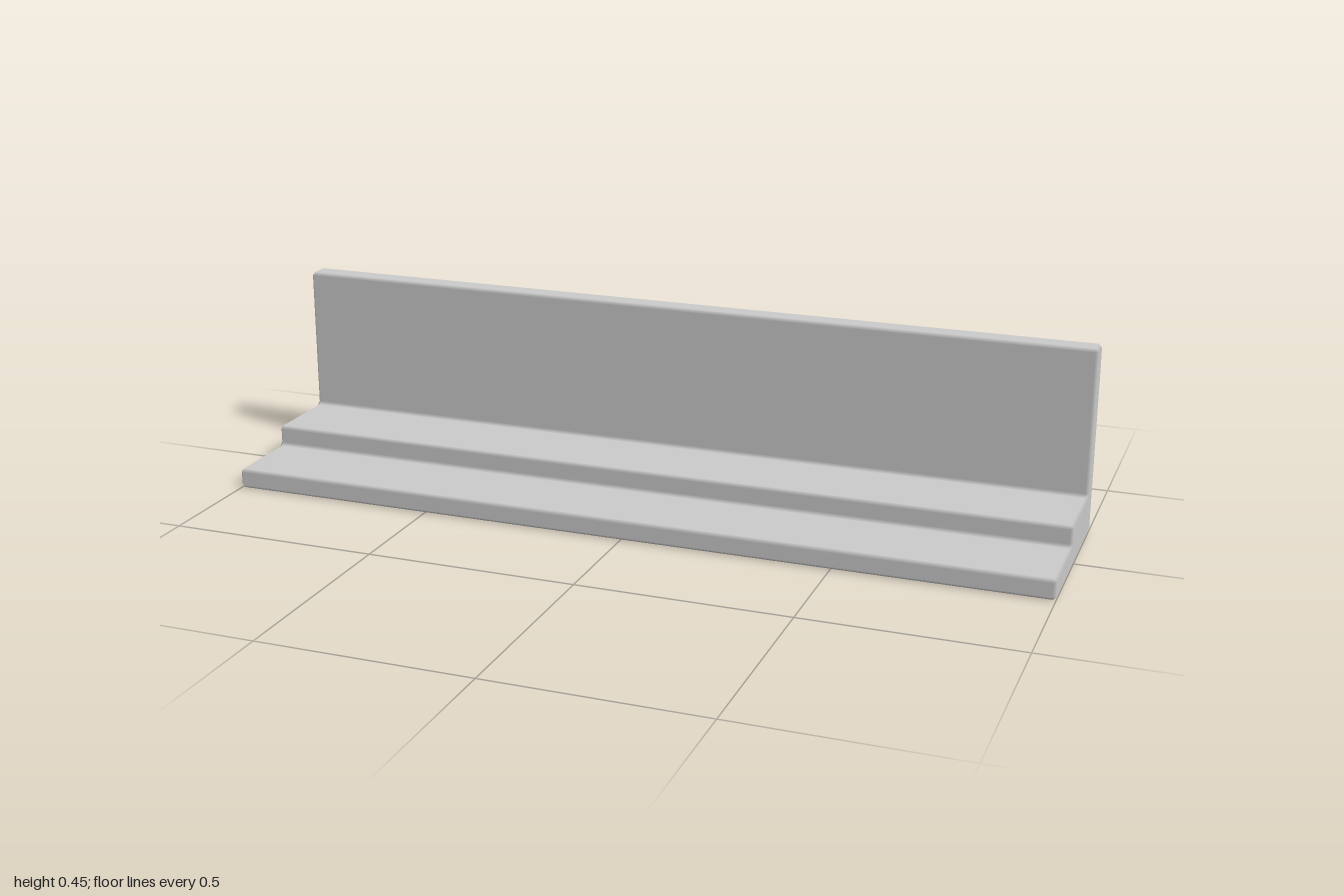
import * as THREE from 'three';

// Cut every corner of a closed profile with a chamfer of size c
function chamferedShape(corners, c) {
  const points = [];
  corners.forEach((corner, i) => {
    const p = new THREE.Vector2(...corner);
    for (const j of [i - 1, i + 1]) {
      const toward = new THREE.Vector2(...corners.at(j % corners.length)).sub(p).setLength(c);
      points.push(toward.add(p));
    }
  });
  return new THREE.Shape(points);
}

// Large faces stay flat; each narrow bevel blends between its two neighbours.
// Every vertex touches exactly one axis-aligned face and takes its normal.
function blendBevels(geometry) {
  geometry.computeVertexNormals();
  const pos = geometry.attributes.position, nor = geometry.attributes.normal;
  const v = new THREE.Vector3(), flat = new Map();
  const key = (i) => v.fromBufferAttribute(pos, i).toArray().map((n) => Math.round(n * 1e4)).join();
  for (let i = 0; i < pos.count; i++) {
    const n = new THREE.Vector3().fromBufferAttribute(nor, i);
    if (Math.max(Math.abs(n.x), Math.abs(n.y), Math.abs(n.z)) > 0.99) flat.set(key(i), n);
  }
  for (let i = 0; i < pos.count; i++) {
    const n = flat.get(key(i));
    if (n) nor.setXYZ(i, n.x, n.y, n.z);
  }
}

export function createModel() {
  const group = new THREE.Group();
  group.name = 'steppedLedge';
  const length = 2, bevel = 0.007;

  // Cross-section as (z, y): low front step, raised step, tall back wall
  const profile = chamferedShape([
    [-0.225, 0], [0.225, 0], [0.225, 0.049], [0.029, 0.049],
    [0.029, 0.099], [-0.168, 0.099], [-0.168, 0.452], [-0.225, 0.452],
  ], 0.008);

  const geometry = new THREE.ExtrudeGeometry(profile, {
    depth: length - 2 * bevel,
    bevelEnabled: true,
    bevelThickness: bevel,
    bevelSize: bevel,
    bevelOffset: -bevel,
    bevelSegments: 1,
  });
  geometry.translate(0, 0, bevel - length / 2);
  geometry.rotateY(-Math.PI / 2);
  blendBevels(geometry);

  const body = new THREE.Mesh(geometry, new THREE.MeshStandardMaterial({ color: 0xcccccc }));
  body.name = 'stepsAndBackWall';
  group.add(body);
  return group;
}
